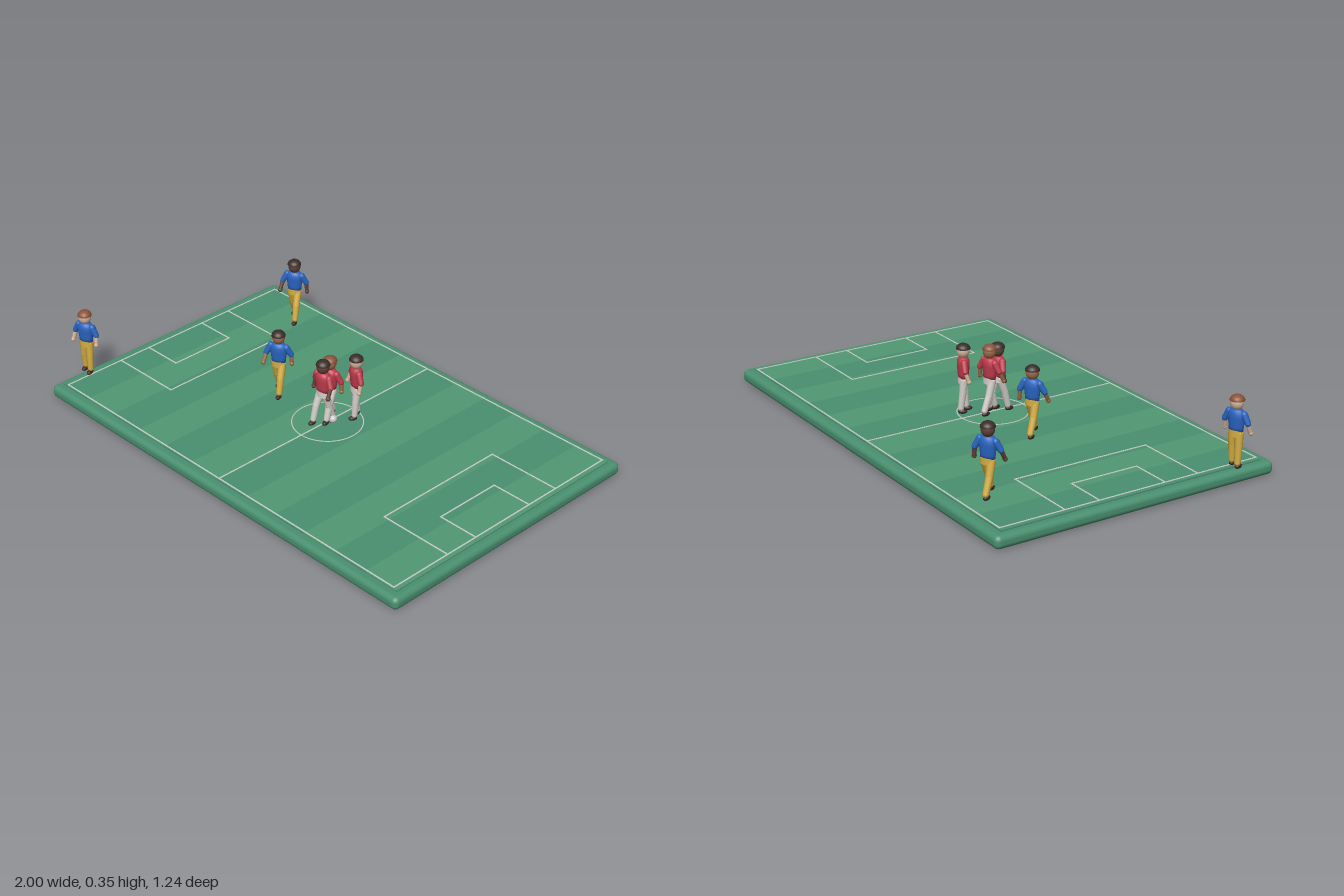
import * as THREE from 'three';
import { RoundedBoxGeometry } from 'three/addons/geometries/RoundedBoxGeometry.js';

const mat = (color) => new THREE.MeshStandardMaterial({ color });
const CX = 0.015; // centre of the pitch along x
const TOP = 0.06; // playing surface height

function add(parent, name, geometry, material, x = 0, y = 0, z = 0) {
  const mesh = new THREE.Mesh(geometry, material);
  mesh.name = name;
  mesh.position.set(x, y, z);
  parent.add(mesh);
  return mesh;
}

// Tapered limb between two points, with rounded ends
function limb(parent, name, a, b, ra, rb, material) {
  const from = new THREE.Vector3(...a), to = new THREE.Vector3(...b);
  const dir = to.clone().sub(from);
  const g = new THREE.Group();
  g.name = name;
  const shaft = add(g, name + 'Shaft', new THREE.CylinderGeometry(rb, ra, dir.length(), 12), material);
  shaft.position.copy(from).addScaledVector(dir, 0.5);
  shaft.quaternion.setFromUnitVectors(new THREE.Vector3(0, 1, 0), dir.normalize());
  add(g, name + 'Start', new THREE.SphereGeometry(ra, 12, 8), material, ...a);
  add(g, name + 'End', new THREE.SphereGeometry(rb, 12, 8), material, ...b);
  parent.add(g);
}

// Board, mown stripes and markings
function createPitch() {
  const pitch = new THREE.Group();
  pitch.name = 'pitch';
  const green = mat(0x4a9070), light = mat(0x519874), white = mat(0xc4cfc4);
  add(pitch, 'board', new RoundedBoxGeometry(1.97, 0.054, 1.24, 3, 0.022), green, CX, 0.027, 0);

  const stripes = 12, w = 1.9 / stripes;
  for (let i = 0; i < stripes; i++) {
    add(pitch, 'turfStripe', new THREE.BoxGeometry(w, 0.012, 1.16), i % 2 ? light : green,
      CX - 0.95 + w * (i + 0.5), 0.053, 0);
  }

  const t = 0.006, y = TOP - 0.0005;
  const line = (x0, z0, x1, z1) => add(pitch, 'line',
    new THREE.BoxGeometry(Math.abs(x1 - x0) + t, 0.003, Math.abs(z1 - z0) + t), white,
    CX + (x0 + x1) / 2, y, (z0 + z1) / 2);
  const X = 0.93, Z = 0.573;
  for (const s of [-1, 1]) {
    line(-X, s * Z, X, s * Z);
    line(s * X, -Z, s * X, Z);
    // Penalty and goal areas
    for (const [depth, half] of [[0.32, 0.297], [0.175, 0.147]]) {
      const inner = s * (X - depth);
      line(inner, -half, inner, half);
      for (const e of [-1, 1]) line(inner, e * half, s * X, e * half);
    }
  }
  line(0, -Z, 0, Z);
  const circle = add(pitch, 'centreCircle', new THREE.TorusGeometry(0.143, 0.003, 6, 48), white, CX, y, 0);
  circle.rotation.x = Math.PI / 2;
  circle.scale.z = 0.5;
  return pitch;
}

// A footballer facing +z, feet at y = 0
function createPlayer({ x, z, yaw, stride, shirt, trousers, skin, hair }) {
  const p = new THREE.Group();
  p.name = 'player';
  const shirtM = mat(shirt), legM = mat(trousers), skinM = mat(skin), hairM = mat(hair), shoeM = mat(0x3a2422);

  // Shirt body as an oval lathe, and the waist below it
  const profile = [[0, 0.145], [0.029, 0.145], [0.031, 0.165], [0.035, 0.2], [0.035, 0.217], [0.027, 0.23], [0.012, 0.234], [0, 0.234]];
  const body = add(p, 'shirt', new THREE.LatheGeometry(profile.map((q) => new THREE.Vector2(...q)), 20), shirtM);
  body.scale.z = 0.72;
  const hips = add(p, 'hips', new THREE.CylinderGeometry(0.029, 0.03, 0.026, 20), legM, 0, 0.14, 0);
  hips.scale.z = 0.75;

  // Head and hair
  add(p, 'neck', new THREE.CylinderGeometry(0.012, 0.013, 0.02, 12), skinM, 0, 0.236, 0);
  const head = add(p, 'head', new THREE.SphereGeometry(0.026, 18, 14), skinM, 0, 0.258, 0);
  head.scale.y = 1.12;
  const cap = add(p, 'hair', new THREE.SphereGeometry(0.029, 18, 8, 0, Math.PI * 2, 0, Math.PI / 2), hairM, 0, 0.267, 0);
  cap.scale.y = 0.76;
  const under = add(p, 'hairUnderside', new THREE.CircleGeometry(0.029, 18), hairM, 0, 0.267, 0);
  under.rotation.x = Math.PI / 2;

  for (const s of [-1, 1]) {
    // Arms swing against the legs
    const swing = -s * stride * 0.4;
    const elbow = [s * 0.05, 0.185, swing * 0.5];
    const wrist = [s * 0.054, 0.15, swing + 0.01];
    limb(p, 'sleeve', [s * 0.033, 0.217, 0], elbow, 0.014, 0.012, shirtM);
    limb(p, 'forearm', elbow, wrist, 0.009, 0.008, skinM);
    add(p, 'hand', new THREE.SphereGeometry(0.0095, 10, 8), skinM, s * 0.055, 0.145, swing + 0.012);

    // Legs and shoes
    const foot = s * stride;
    const knee = [s * 0.017, 0.082, foot * 0.5 + Math.abs(stride) * 0.1];
    const ankle = [s * 0.018, 0.024, foot];
    limb(p, 'thigh', [s * 0.015, 0.14, 0], knee, 0.0165, 0.0145, legM);
    limb(p, 'shin', knee, ankle, 0.0145, 0.0125, legM);
    const shoe = add(p, 'shoe', new THREE.SphereGeometry(0.011, 12, 8), shoeM, s * 0.018, 0.009, foot + 0.007);
    shoe.scale.set(0.95, 0.85, 1.7);
  }
  p.position.set(x, TOP, z);
  p.rotation.y = yaw;
  return p;
}

export function createModel() {
  const model = new THREE.Group();
  model.name = 'footballPitch';
  model.add(createPitch());

  const blue = { shirt: 0x2a64c0, trousers: 0xd2ac42 };
  const red = { shirt: 0xbd3a4b, trousers: 0xd2cec8 };
  const pale = 0xd3b39a, tan = 0x9a6848, dark = 0x5f4035;
  const black = 0x3a2d2a, brown = 0x8a5238;
  const players = [
    { ...blue, x: -0.942, z: 0.447, yaw: 0.28, stride: 0.008, skin: pale, hair: brown },
    { ...blue, x: -0.665, z: -0.46, yaw: 0.42, stride: 0.042, skin: dark, hair: black },
    { ...blue, x: -0.278, z: -0.01, yaw: 0.42, stride: 0.042, skin: tan, hair: black },
    { ...red, x: 0.008, z: 0.018, yaw: 0, stride: -0.036, skin: dark, hair: black },
    { ...red, x: 0.005, z: -0.022, yaw: 0.1, stride: 0.04, skin: tan, hair: brown },
    { ...red, x: 0.07, z: -0.103, yaw: -0.45, stride: 0.012, skin: pale, hair: black },
  ];
  for (const spec of players) model.add(createPlayer(spec));

  add(model, 'ball', new THREE.SphereGeometry(0.017, 20, 14), mat(0xdddddd), 0.035, TOP + 0.017, -0.01);
  return model;
}
